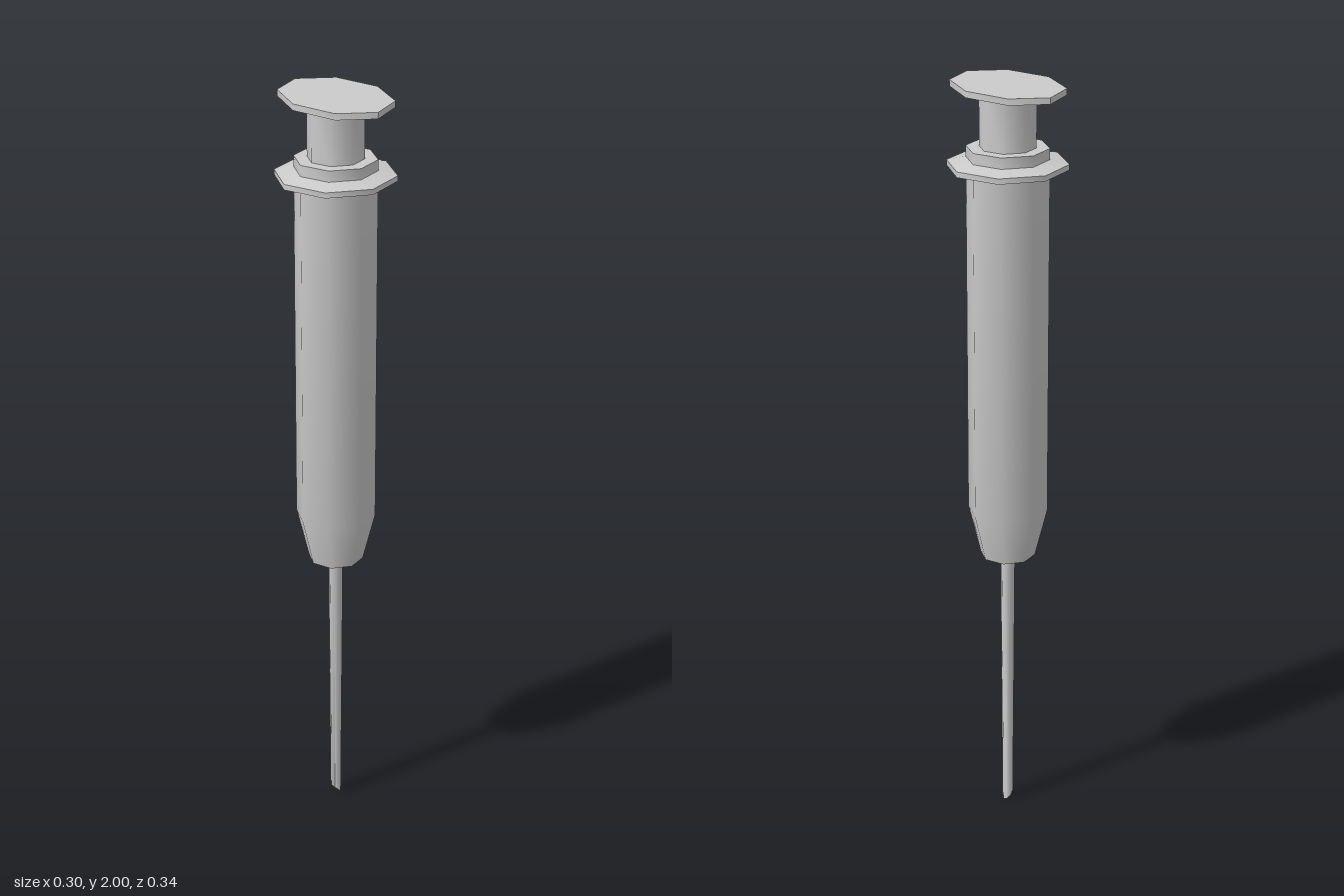
import * as THREE from 'three';
import { toCreasedNormals } from 'three/addons/utils/BufferGeometryUtils.js';

const material = new THREE.MeshStandardMaterial({ color: 0xcccccc });
const SIDES = 8;

// Eight-sided turned part; profile is [radius, y] from bottom to top
function turned(name, profile, adjust) {
  const points = profile.map(([r, y]) => new THREE.Vector2(r, y));
  const geometry = new THREE.LatheGeometry(points, SIDES);
  if (adjust) adjust(geometry);
  const mesh = new THREE.Mesh(toCreasedNormals(geometry, THREE.MathUtils.degToRad(50)), material);
  mesh.name = name;
  return mesh;
}

// Slant the lower end of the needle so its point lies on the +x side
function bevelTip(geometry) {
  const pos = geometry.attributes.position;
  for (let i = 0; i < pos.count; i++) {
    if (pos.getY(i) < 0.1) pos.setY(i, 0.014 - pos.getX(i));
  }
}

export function createModel() {
  const model = new THREE.Group();
  model.name = 'syringe';

  // Slim tapered needle
  model.add(turned('needle', [[0, 0.014], [0.014, 0.014], [0.019, 0.76], [0, 0.76]], bevelTip));

  // Barrel with tapered nose, finger flange and collar
  model.add(turned('barrel', [
    [0, 0.75], [0.072, 0.75], [0.104, 0.88], [0.104, 1.787],
    [0.152, 1.793], [0.152, 1.807], [0.104, 1.817],
    [0.104, 1.845], [0, 1.845],
  ]));

  // Plunger rod
  model.add(turned('plungerRod', [[0, 1.83], [0.071, 1.83], [0.071, 1.987], [0, 1.987]]));

  // Thumb rest, stretched front to back
  const thumbRest = turned('thumbRest', [[0, 1.984], [0.124, 1.984], [0.124, 2], [0, 2]],
    (geometry) => geometry.scale(1, 1, 1.37));
  model.add(thumbRest);

  return model;
}
